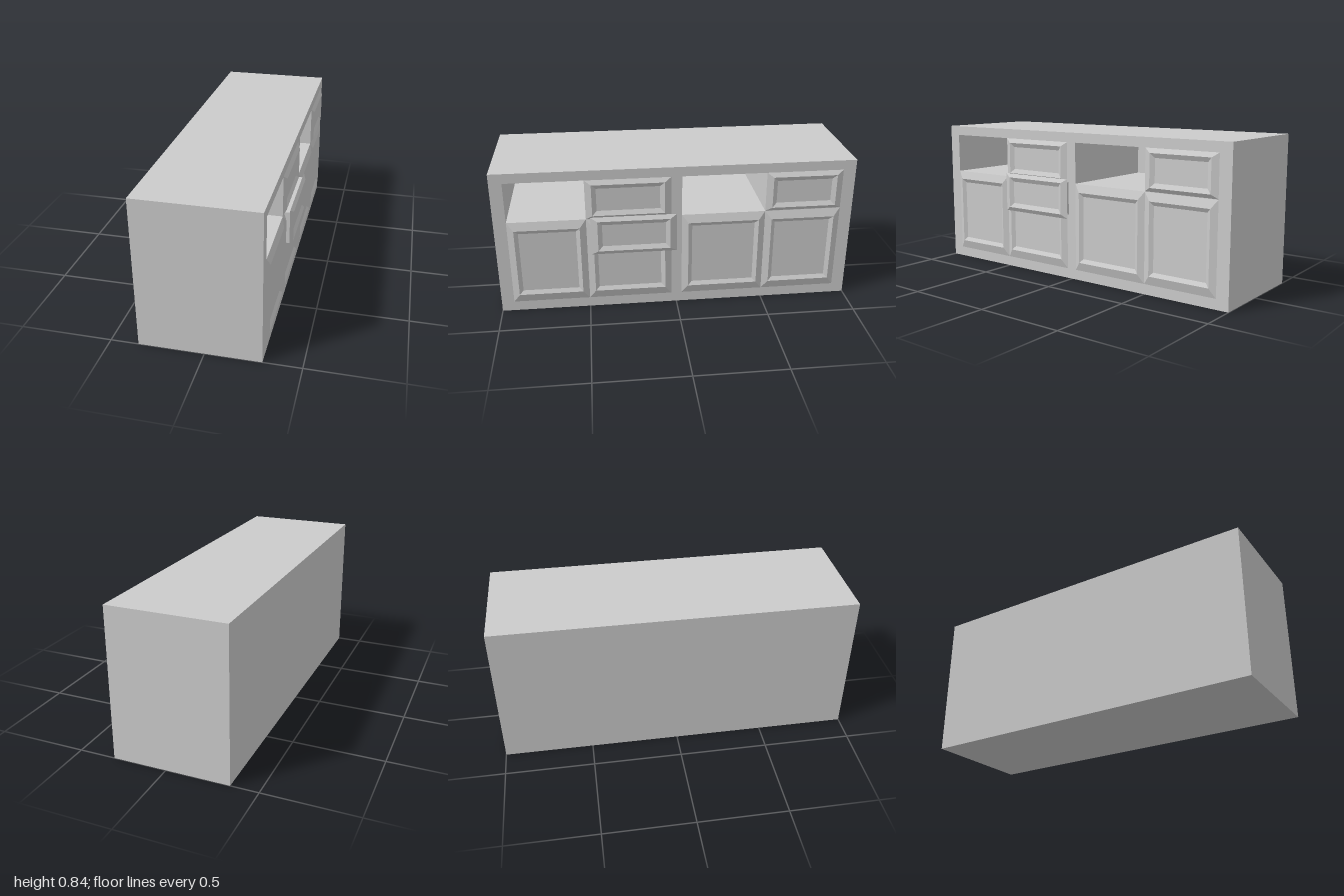
import * as THREE from 'three';

const material = new THREE.MeshStandardMaterial({ color: 0xcccccc, flatShading: true });
const FRONT = 0.298, BACK = -0.35, HEIGHT = 0.84;

function add(parent, name, geometry) {
  const mesh = new THREE.Mesh(geometry, material);
  mesh.name = name;
  parent.add(mesh);
  return mesh;
}

// Box given by its limits on each axis
function box(x0, x1, y0, y1, z0, z1) {
  return new THREE.BoxGeometry(x1 - x0, y1 - y0, z1 - z0)
    .translate((x0 + x1) / 2, (y0 + y1) / 2, (z0 + z1) / 2);
}

// Panel facing +x: bevel up to a raised ridge, then down to a recessed field
function panelGeometry(x, z0, z1, y0, y1, insetZ, insetY0, insetY1, inner) {
  const ring = (px, dz, b, t) => [
    [px, y0 + b, z1 - dz], [px, y0 + b, z0 + dz],
    [px, y1 - t, z0 + dz], [px, y1 - t, z1 - dz],
  ];
  const rings = [
    ring(x, 0, 0, 0),
    ring(x + 0.015, insetZ, insetY0, insetY1),
    ring(x + 0.002, insetZ + inner, insetY0 + inner, insetY1 + inner),
  ];
  const points = [];
  const quad = (a, b, c, d) => points.push(...a, ...b, ...c, ...a, ...c, ...d);
  for (let r = 0; r < 2; r++) {
    for (let i = 0; i < 4; i++) {
      const j = (i + 1) % 4;
      quad(rings[r][i], rings[r][j], rings[r + 1][j], rings[r + 1][i]);
    }
  }
  quad(...rings[2]);
  quad(...[...rings[0]].reverse());
  const geometry = new THREE.BufferGeometry();
  geometry.setAttribute('position', new THREE.Float32BufferAttribute(points, 3));
  geometry.computeVertexNormals();
  return geometry;
}

function rectangle(target, u0, u1, v0, v1) {
  target.moveTo(u0, v0);
  target.lineTo(u1, v0);
  target.lineTo(u1, v1);
  target.lineTo(u0, v1);
  target.closePath();
  return target;
}

export function createModel() {
  const model = new THREE.Group();
  model.name = 'sideboard';

  // The four columns of the facade: z limits and whether the drawer bay is empty
  const columns = [
    { z0: 0.5, z1: 0.93, open: true },
    { z0: 0.03, z1: 0.5, open: false },
    { z0: -0.5, z1: -0.03, open: true },
    { z0: -0.93, z1: -0.5, open: false },
  ];

  // Carcass with the two empty drawer bays, and its back
  const backInner = BACK + 0.03;
  const section = rectangle(new THREE.Shape(), -1, 1, 0, HEIGHT);
  for (const c of columns.filter((c) => c.open)) {
    section.holes.push(rectangle(new THREE.Path(), -c.z1, -c.z0, 0.555, 0.785));
  }
  const carcass = new THREE.ExtrudeGeometry(section, { depth: FRONT - backInner, bevelEnabled: false });
  carcass.rotateY(Math.PI / 2).translate(backInner, 0, 0);
  add(model, 'carcass', carcass);
  add(model, 'backPanel', box(BACK, backInner, 0, HEIGHT, -1, 1));

  // Doors below, closed drawer fronts above
  for (const c of columns) {
    add(model, 'door', panelGeometry(FRONT, c.z0, c.z1, 0.057, 0.555, 0.036, 0.05, 0.047, 0.022));
    if (!c.open) {
      add(model, 'drawerFront', panelGeometry(FRONT, c.z0, c.z1, 0.557, 0.785, 0.036, 0.022, 0.025, 0.025));
    }
  }

  // Pulled-out drawer
  const drawer = new THREE.Group();
  drawer.name = 'pulledOutDrawer';
  add(drawer, 'drawerBox', box(0.2, 0.333, 0.375, 0.56, 0.02, 0.46));
  add(drawer, 'pulledOutFront', panelGeometry(0.333, 0.002, 0.476, 0.355, 0.58, 0.037, 0.024, 0.022, 0.025));
  model.add(drawer);

  return model;
}
